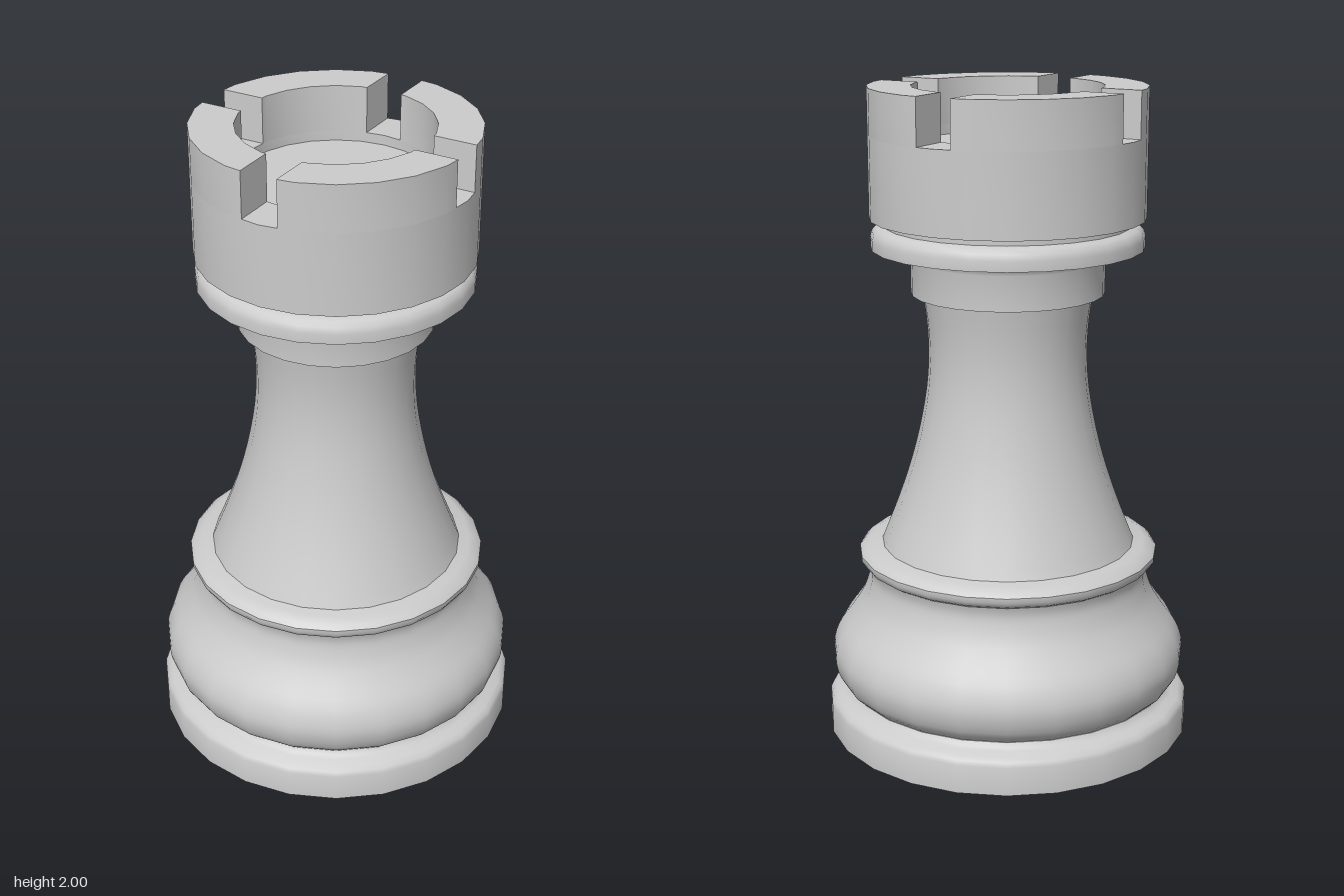
import * as THREE from 'three';
import { toCreasedNormals } from 'three/addons/utils/BufferGeometryUtils.js';

const SIDES = 24;
const CREASE = 0.65;
const material = new THREE.MeshStandardMaterial({ color: 0xcccccc });

const points = (list) => list.map(([r, y]) => new THREE.Vector2(r, y));
const smooth = (list, n) => new THREE.SplineCurve(points(list)).getPoints(n);

function addMesh(group, name, geometry) {
  const mesh = new THREE.Mesh(toCreasedNormals(geometry, CREASE), material);
  mesh.name = name;
  group.add(mesh);
  return mesh;
}

// Turned part: profile runs from bottom to top
const turn = (group, name, profile) =>
  addMesh(group, name, new THREE.LatheGeometry(profile, SIDES));

// Plan of one battlement, centred on +x, with parallel-sided slots on the diagonals
function battlementShape(outer, inner, slot) {
  const h = slot / 2;
  const arc = (r) => {
    const d = r - h * Math.tan(Math.PI / SIDES);
    const c = Math.SQRT1_2;
    const a = new THREE.Vector2((d + h) * c, (d - h) * c);
    const list = [new THREE.Vector2(a.x, -a.y)];
    const limit = Math.atan2(a.y, a.x);
    for (let i = -2; i <= 2; i++) {
      const t = (i * 2 * Math.PI) / SIDES;
      if (Math.abs(t) < limit) list.push(new THREE.Vector2(r * Math.cos(t), r * Math.sin(t)));
    }
    list.push(a);
    return list;
  };
  return new THREE.Shape([...arc(outer), ...arc(inner).reverse()]);
}

export function createModel() {
  const rook = new THREE.Group();
  rook.name = 'rook';

  // Foot disc with a softened upper edge
  turn(rook, 'foot', points([
    [0, 0], [0.568, 0], [0.568, 0.088], [0.562, 0.102], [0.548, 0.112],
    [0.525, 0.12], [0.512, 0.128], [0.505, 0.14], [0, 0.14],
  ]));

  // Rounded bulge narrowing into a waist, then flaring to a lip
  turn(rook, 'bulge', [
    new THREE.Vector2(0, 0.14),
    ...smooth([
      [0.503, 0.14], [0.535, 0.172], [0.552, 0.225], [0.55, 0.27], [0.53, 0.32],
      [0.49, 0.375], [0.455, 0.43], [0.437, 0.48], [0.433, 0.51], [0.438, 0.535],
    ], 22),
    ...points([[0.455, 0.545], [0.464, 0.56], [0.464, 0.575], [0.452, 0.588], [0.425, 0.6], [0, 0.6]]),
  ]);

  // Tapered stem
  turn(rook, 'stem', smooth([
    [0.392, 0.6], [0.352, 0.7], [0.316, 0.8], [0.286, 0.9], [0.263, 1.0],
    [0.247, 1.1], [0.241, 1.2], [0.246, 1.3], [0.26, 1.4],
  ], 18));

  // Collar that sweeps out under the disc
  turn(rook, 'collar', points([
    [0.24, 1.385], [0.293, 1.385], [0.293, 1.49], [0.297, 1.505],
    [0.308, 1.516], [0.325, 1.522], [0.35, 1.525],
  ]));

  // Rounded disc and the recessed groove above it
  turn(rook, 'disc', points([
    [0.28, 1.525], [0.412, 1.525], [0.412, 1.555], [0.407, 1.573],
    [0.395, 1.586], [0.372, 1.592], [0.372, 1.615],
  ]));

  // Crown drum with a sunken floor
  const outer = 0.415, inner = 0.285, slotFloor = 1.86;
  turn(rook, 'crown', points([
    [0.34, 1.613], [outer, 1.613], [outer, slotFloor], [inner, slotFloor], [inner, 1.83], [0, 1.83],
  ]));

  // Four battlements
  const battlement = new THREE.ExtrudeGeometry(battlementShape(outer, inner, 0.112), {
    depth: 2 - slotFloor, bevelEnabled: false,
  }).rotateX(-Math.PI / 2).translate(0, slotFloor, 0);
  for (let i = 0; i < 4; i++) {
    addMesh(rook, 'battlement' + (i + 1), battlement).rotation.y = (i * Math.PI) / 2;
  }

  return rook;
}
